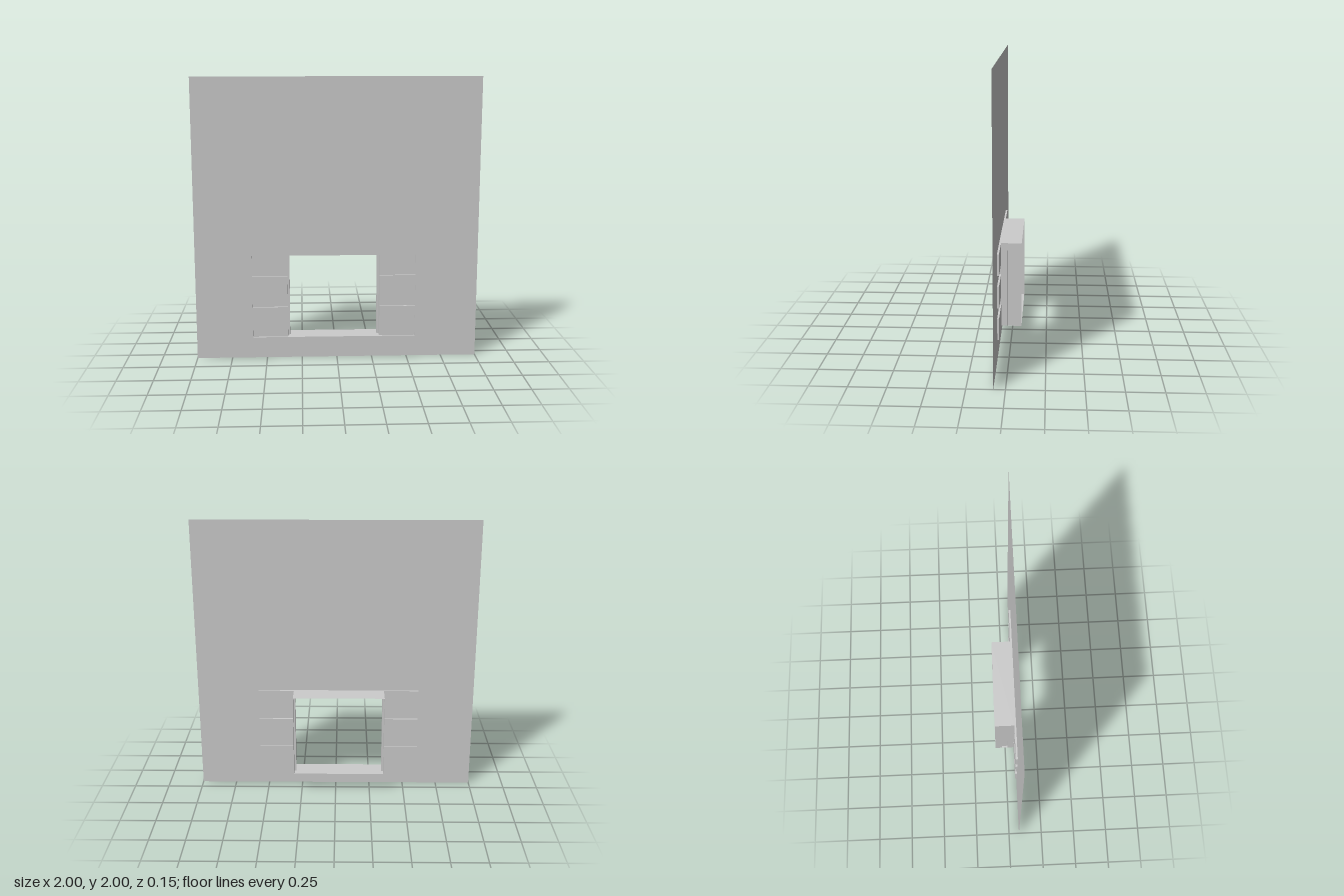
import * as THREE from 'three';

const FRONT = 0.077, RECESS = 0.064, BACK = -0.077;
const LEFT = -0.35, RIGHT = 0.304, BOTTOM = 0.15, TOP = 0.75;
const ROWS = [[0.15, 0.304], [0.373, 0.527], [0.6, 0.75]];
const OUTER = { [LEFT]: -0.6, [RIGHT]: 0.56 };

const material = new THREE.MeshStandardMaterial({
  color: 0xcccccc, flatShading: true, side: THREE.DoubleSide,
});

// Thin sheet made by sweeping a path of [x, y, z] points along an offset
function sweep(path, [dx, dy, dz]) {
  const position = [];
  for (let i = 0; i < path.length - 1; i++) {
    const a = path[i], b = path[i + 1];
    const c = [b[0] + dx, b[1] + dy, b[2] + dz];
    const d = [a[0] + dx, a[1] + dy, a[2] + dz];
    position.push(...a, ...b, ...c, ...a, ...c, ...d);
  }
  const geometry = new THREE.BufferGeometry();
  geometry.setAttribute('position', new THREE.Float32BufferAttribute(position, 3));
  geometry.computeVertexNormals();
  return geometry;
}

export function createModel() {
  const group = new THREE.Group();
  const add = (name, geometry) => {
    const mesh = new THREE.Mesh(geometry, material);
    mesh.name = name;
    group.add(mesh);
    return mesh;
  };

  // Toothed outline: the opening together with the recessed side blocks
  const side = (edge) => ROWS.flatMap(([y0, y1]) => [
    [edge, y0], [OUTER[edge], y0], [OUTER[edge], y1], [edge, y1],
  ]);
  const outline = [...side(RIGHT), ...side(LEFT).reverse()]
    .filter((p, i, all) => i === 0 || p[0] !== all[i - 1][0] || p[1] !== all[i - 1][1]);

  // Wall sheet
  const wall = new THREE.Shape([[-1, 0], [1, 0], [1, 2], [-1, 2]]
    .map(([x, y]) => new THREE.Vector2(x, y)));
  wall.holes.push(new THREE.Path(outline.map(([x, y]) => new THREE.Vector2(x, y))));
  add('wall', new THREE.ShapeGeometry(wall)).position.z = FRONT;

  // Shallow rim stepping back from the wall
  const rim = [...outline, outline[0]].map(([x, y]) => [x, y, FRONT]);
  add('recessRim', sweep(rim, [0, 0, RECESS - FRONT]));

  // Side blocks and jambs, each jamb with a raised stop along its middle
  for (const [edge, label] of [[LEFT, 'right'], [RIGHT, 'left']]) {
    for (const [y0, y1] of ROWS) {
      add(label + 'RecessedBlock', sweep(
        [[Math.min(edge, OUTER[edge]), y0, RECESS], [Math.max(edge, OUTER[edge]), y0, RECESS]],
        [0, y1 - y0, 0]));
    }
    const stop = edge - Math.sign(edge) * 0.014;
    const profile = [[edge, RECESS], [edge, 0.019], [stop, 0.019],
      [stop, -0.028], [edge, -0.028], [edge, BACK]];
    add(label + 'Jamb', sweep(profile.map(([x, z]) => [x, BOTTOM, z]), [0, TOP - BOTTOM, 0]));
  }

  // Sill and head of the opening
  for (const [name, y] of [['sill', BOTTOM], ['head', TOP]]) {
    add(name, sweep([[LEFT, y, RECESS], [RIGHT, y, RECESS]], [0, 0, BACK - RECESS]));
  }
  return group;
}
